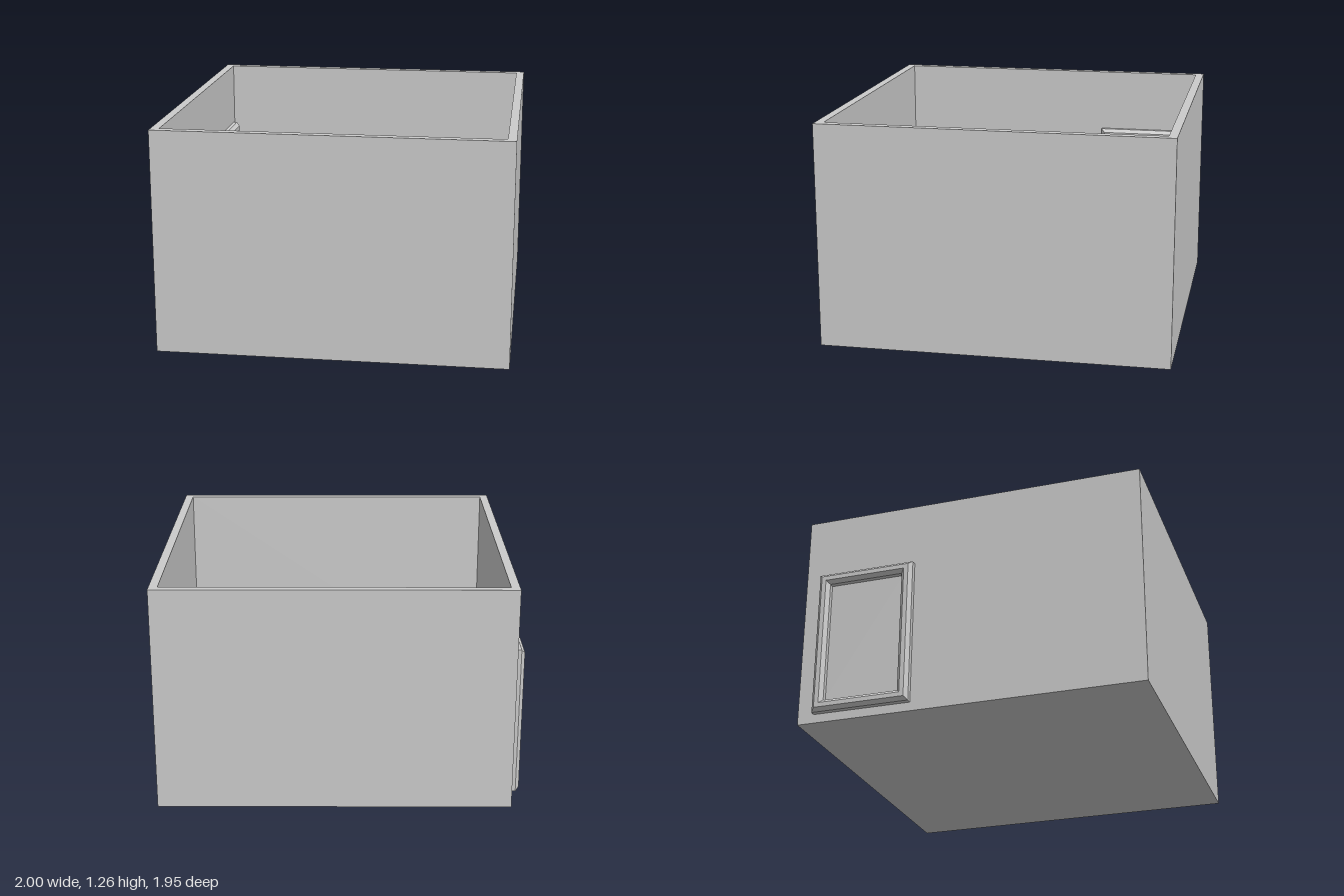
import * as THREE from 'three';
import { mergeVertices } from 'three/addons/utils/BufferGeometryUtils.js';

const grey = new THREE.MeshStandardMaterial({ color: 0xcccccc });
const FLOOR = 0.05;

function add(parent, name, geometry, x = 0, y = 0, z = 0) {
  const mesh = new THREE.Mesh(geometry, grey);
  mesh.name = name;
  mesh.position.set(x, y, z);
  parent.add(mesh);
  return mesh;
}

// Box given by its lower and upper limits
function addBox(parent, name, [x0, y0, z0], [x1, y1, z1]) {
  return add(parent, name, new THREE.BoxGeometry(x1 - x0, y1 - y0, z1 - z0),
    (x0 + x1) / 2, (y0 + y1) / 2, (z0 + z1) / 2);
}

// Rectangle centred on the origin with a rectangular hole
function ringShape(w, h, holeW, holeH) {
  const corners = (a, b) => [[-a, -b], [a, -b], [a, b], [-a, b]].map(([x, y]) => new THREE.Vector2(x / 2, y / 2));
  const shape = new THREE.Shape(corners(w, h));
  shape.holes.push(new THREE.Path(corners(holeW, holeH).reverse()));
  return shape;
}

// Smooth cushion: a dense box with rounded edges and a wrinkled surface
function cushion(w, h, d, radius, step, wrinkle, frequency) {
  const box = new THREE.BoxGeometry(w, h, d, Math.round(w / step), Math.round(h / step), Math.round(d / step));
  box.deleteAttribute('uv');
  box.deleteAttribute('normal');
  const geometry = mergeVertices(box, 1e-5);
  const pos = geometry.attributes.position;
  const inner = new THREE.Vector3(w / 2 - radius, h / 2 - radius, d / 2 - radius);
  const low = inner.clone().negate();
  const p = new THREE.Vector3(), core = new THREE.Vector3();
  for (let i = 0; i < pos.count; i++) {
    p.fromBufferAttribute(pos, i);
    core.copy(p).clamp(low, inner);
    const out = p.clone().sub(core).normalize();
    const { x, y, z } = p.clone().multiplyScalar(frequency);
    const noise = Math.sin(x * 1.3 + 2 * Math.sin(z * 0.7)) * Math.sin(z * 1.1 + y + 1.5 * Math.sin(x * 0.6))
      + 0.5 * Math.sin(x * 2.3 - z * 1.9 + y * 1.7);
    p.copy(core).addScaledVector(out, radius + wrinkle * noise);
    pos.setXYZ(i, p.x, p.y, p.z);
  }
  geometry.computeVertexNormals();
  return geometry;
}

function createRoom() {
  const room = new THREE.Group();
  room.name = 'room';
  const walls = new THREE.ExtrudeGeometry(ringShape(1.95, 1.95, 1.855, 1.855), { depth: 1.26, bevelEnabled: false });
  walls.rotateX(-Math.PI / 2);
  add(room, 'walls', walls, 0.025, 0, 0);
  addBox(room, 'floor', [-0.93, 0, -0.95], [0.98, FLOOR, 0.95]);
  return room;
}

// Chamfered casing on both faces of the wall around a flush door leaf
function createDoor() {
  const door = new THREE.Group();
  door.name = 'door';
  const bevel = 0.02, w = 0.56, h = 0.84, jamb = 0.05;
  const shape = ringShape(w - 2 * bevel, h - 2 * bevel, w - 2 * jamb + 0.01, h - 2 * jamb + 0.01);
  const casing = new THREE.ExtrudeGeometry(shape, {
    depth: 0.03, bevelEnabled: true, bevelSegments: 1, bevelSize: bevel, bevelThickness: bevel, bevelOffset: 0,
  });
  casing.rotateY(Math.PI / 2);
  const y = FLOOR + h / 2;
  add(door, 'innerDoorCasing', casing, -0.91, y, -0.61);
  add(door, 'outerDoorCasing', casing, -0.95, y, -0.6).rotation.y = Math.PI;
  addBox(door, 'doorLeaf', [-0.953, 0.09, -0.84], [-0.902, 0.85, -0.37]);
  return door;
}

function createBed() {
  const bed = new THREE.Group();
  bed.name = 'bed';
  add(bed, 'mattress', cushion(0.73, 0.135, 0.97, 0.035, 0.0135, 0.004, 14), 0.003, FLOOR + 0.07, -0.432);
  const pillow = add(bed, 'pillow', cushion(0.345, 0.07, 0.265, 0.022, 0.0065, 0.0025, 50), 0.14, 0.215, -0.717);
  pillow.rotation.y = -0.38;
  return bed;
}

// Desk facing the room, with a drawer stack at one end
function createDesk() {
  const desk = new THREE.Group();
  desk.name = 'desk';
  const top = 0.42;
  addBox(desk, 'deskTop', [-0.89, top - 0.03, 0.57], [-0.17, top, 0.91]);
  addBox(desk, 'drawerCabinet', [-0.885, FLOOR, 0.575], [-0.64, top - 0.03, 0.905]);
  addBox(desk, 'deskSide', [-0.205, FLOOR, 0.575], [-0.175, top - 0.03, 0.905]);
  addBox(desk, 'deskBackPanel', [-0.64, 0.2, 0.88], [-0.205, top - 0.03, 0.905]);
  for (let i = 0; i < 3; i++) {
    const y = FLOOR + 0.015 + i * 0.108;
    addBox(desk, 'drawerFront', [-0.87, y, 0.565], [-0.655, y + 0.095, 0.58]);
    addBox(desk, 'drawerHandle', [-0.83, y + 0.045, 0.55], [-0.68, y + 0.057, 0.557]);
    for (const x of [-0.83, -0.69]) {
      addBox(desk, 'handlePost', [x, y + 0.045, 0.555], [x + 0.01, y + 0.057, 0.57]);
    }
  }
  return desk;
}

export function createModel() {
  const model = new THREE.Group();
  model.name = 'bedroom';
  model.add(createRoom(), createDoor(), createBed(), createDesk());
  return model;
}
